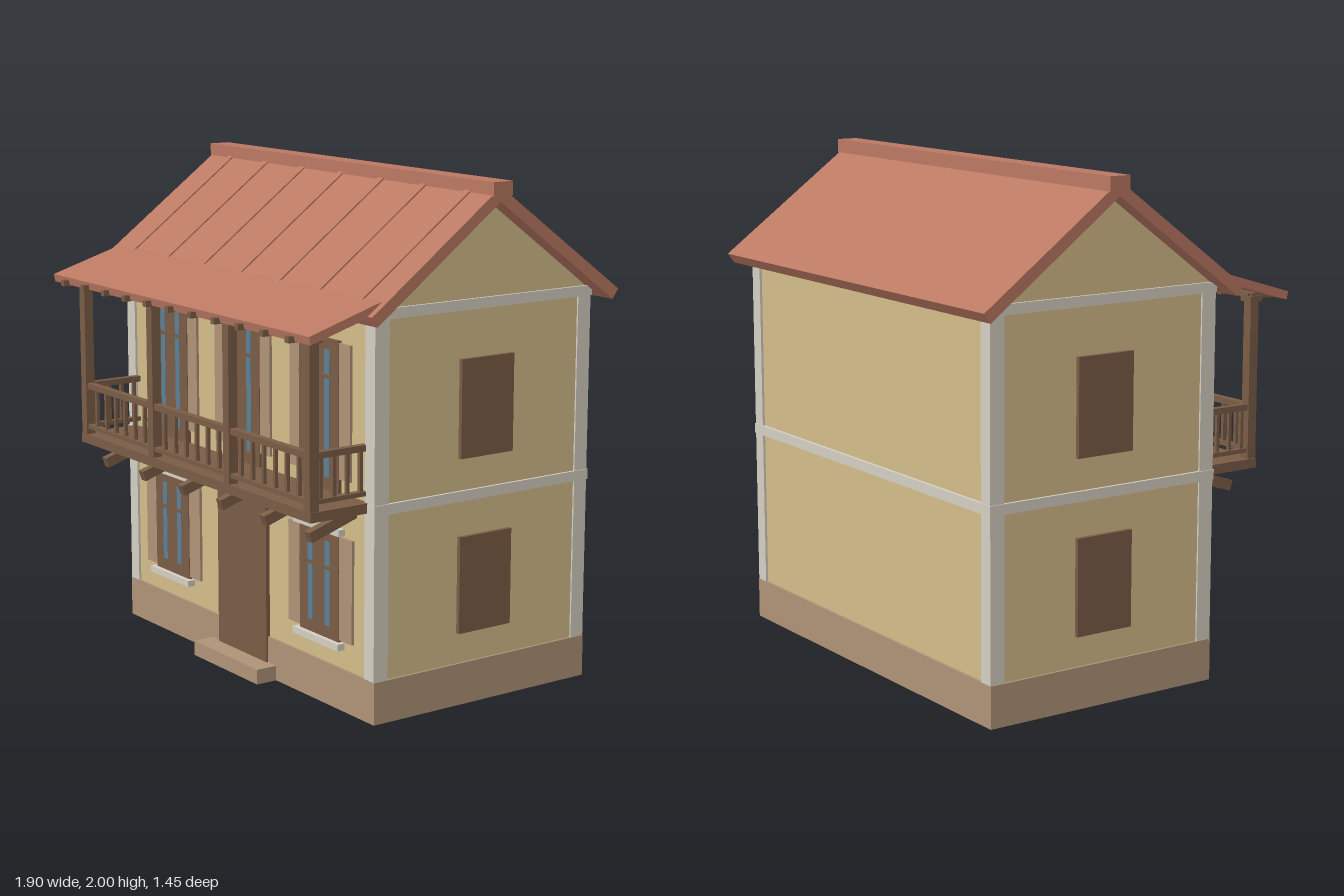
import * as THREE from 'three';

const mat = (name, color) => {
  const m = new THREE.MeshStandardMaterial({ color });
  m.name = name;
  return m;
};

export function createModel() {
  const house = new THREE.Group();
  house.name = 'balconyHouse';
  const plaster = mat('ochrePlaster', 0xd4bc8a);
  const trim = mat('paleTrim', 0xd5cfc2);
  const stone = mat('tanStone', 0xae9376);
  const wood = mat('darkWood', 0x7a5c46);
  const tile = mat('terracottaTile', 0xba7862);
  const glass = mat('blueGlass', 0x5c7f96);

  // Box given by its limits on each axis
  const box = (name, m, x0, x1, y0, y1, z0, z1, parent = house) => {
    const mesh = new THREE.Mesh(new THREE.BoxGeometry(x1 - x0, y1 - y0, z1 - z0), m);
    mesh.position.set((x0 + x1) / 2, (y0 + y1) / 2, (z0 + z1) / 2);
    mesh.name = name;
    parent.add(mesh);
    return mesh;
  };
  // Side profile of [z, y] points swept along x
  const sweep = (name, m, points, width, x = 0, parent = house) => {
    const shape = new THREE.Shape(points.map(([z, y]) => new THREE.Vector2(z, y)));
    const geo = new THREE.ExtrudeGeometry(shape, { depth: width, bevelEnabled: false });
    geo.translate(0, 0, -width / 2).rotateY(-Math.PI / 2);
    const mesh = new THREE.Mesh(geo, m);
    mesh.position.x = x;
    mesh.name = name;
    parent.add(mesh);
    return mesh;
  };
  const group = (name) => {
    const g = new THREE.Group();
    g.name = name;
    house.add(g);
    return g;
  };

  // Walls with gables, plinth and doorstep
  sweep('walls', plaster, [[-0.635, 0.1], [0.375, 0.1], [0.375, 1.555], [-0.13, 1.93], [-0.635, 1.555]], 1.73);
  box('plinth', stone, -0.875, 0.875, 0, 0.165, -0.645, 0.385);
  box('doorstep', stone, -0.23, 0.23, 0, 0.06, 0.38, 0.475);

  // Corner pilasters and the two belt courses
  for (const s of [-1, 1]) {
    const [a, b] = s < 0 ? [-0.872, -0.812] : [0.812, 0.872];
    box('frontPilaster', trim, a, b, 0.165, 1.53, 0.32, 0.385);
    box('backPilaster', trim, a, b, 0.165, 1.53, -0.645, -0.583);
  }
  for (const y of [0.8, 1.525])
    box('beltCourse', trim, -0.876, 0.876, y, y + 0.04, -0.648, 0.388);

  // Main roof: two sloping slabs, ridge cap and front seams
  const roof = group('mainRoof');
  sweep('frontSlope', tile, [[-0.13, 1.925], [0.43, 1.515], [0.455, 1.553], [-0.13, 1.98]], 1.89, 0, roof);
  sweep('backSlope', tile, [[-0.13, 1.925], [-0.13, 1.98], [-0.72, 1.553], [-0.692, 1.515]], 1.89, 0, roof);
  box('ridgeCap', tile, -0.952, 0.952, 1.945, 2, -0.18, -0.09, roof);
  for (let i = -3; i <= 3; i++)
    sweep('roofSeam', tile, [[-0.1, 1.955], [0.4, 1.59], [0.405, 1.596], [-0.1, 1.965]], 0.035, i * 0.266, roof);

  // Porch roof with rafter tails
  sweep('porchRoof', tile, [[0.385, 1.567], [0.7, 1.475], [0.707, 1.506], [0.385, 1.603]], 1.835);
  for (let i = -5; i <= 5; i++)
    box('rafterTail', wood, i * 0.1615 - 0.012, i * 0.1615 + 0.012, 1.471, 1.495, 0.59, 0.727);

  // Balcony: deck, posts, top beam
  const balcony = group('balcony');
  box('deck', wood, -0.83, 0.83, 0.805, 0.843, 0.375, 0.64, balcony);
  box('topBeam', wood, -0.83, 0.83, 1.477, 1.497, 0.602, 0.636, balcony);
  const posts = [-0.805, -0.275, 0.275, 0.805];
  for (const x of posts) {
    box('post', wood, x - 0.02, x + 0.02, 0.84, 1.48, 0.6, 0.64, balcony);
    box('postCap', wood, x - 0.03, x + 0.03, 1.462, 1.485, 0.59, 0.648, balcony);
  }

  // Railings: front bays between posts, then both ends
  for (const [y0, y1] of [[0.868, 0.885], [1.036, 1.06]]) {
    box('frontRail', wood, -0.8, 0.8, y0, y1, 0.606, 0.634, balcony);
    for (const x of [-0.805, 0.805])
      box('endRail', wood, x - 0.014, x + 0.014, y0, y1, 0.375, 0.61, balcony);
  }
  for (let b = 0; b < 3; b++)
    for (let i = 1; i <= 6; i++) {
      const x = posts[b] + ((posts[b + 1] - posts[b]) * i) / 7;
      box('baluster', wood, x - 0.007, x + 0.007, 0.88, 1.04, 0.613, 0.627, balcony);
    }
  for (const x of [-0.805, 0.805])
    for (const z of [0.4, 0.46, 0.52, 0.58])
      box('endBaluster', wood, x - 0.007, x + 0.007, 0.88, 1.04, z - 0.007, z + 0.007, balcony);

  // Sloping brackets under the deck
  for (const x of [-0.735, -0.44, -0.14, 0.14, 0.44, 0.735])
    sweep('bracket', wood, [[0.375, 0.77], [0.576, 0.705], [0.59, 0.745], [0.375, 0.812]], 0.034, x, balcony);

  // Front window: wooden casement, narrow panes and open shutters
  const frontWindow = (name, x, y0, y1, inset, shutterWidth) => {
    const g = group(name);
    box('casement', wood, x - 0.127, x + 0.127, y0, y1, 0.37, 0.389, g);
    for (const s of [-1, 1]) {
      const c = x + s * (0.125 + shutterWidth / 2);
      box('shutter', stone, c - shutterWidth / 2, c + shutterWidth / 2, y0 + inset, y1 - 0.008, 0.37, 0.386, g);
      box('pane', glass, x + s * 0.055 - 0.016, x + s * 0.055 + 0.016, y0 + 0.05, y1 - 0.04, 0.387, 0.3905, g);
    }
    box('crossbar', wood, x - 0.127, x + 0.127, y1 - 0.15, y1 - 0.135, 0.38, 0.392, g);
    return g;
  };
  for (const x of [-0.525, 0, 0.525]) frontWindow('upperWindow', x, 0.843, 1.42, 0.055, 0.07);
  for (const x of [-0.527, 0.527]) {
    const g = frontWindow('lowerWindow', x, 0.265, 0.685, 0.01, 0.083);
    box('sill', trim, x - 0.148, x + 0.148, 0.24, 0.266, 0.37, 0.408, g);
    box('lintel', trim, x - 0.148, x + 0.148, 0.684, 0.71, 0.37, 0.405, g);
  }

  // Front door and its lintel
  box('door', wood, -0.173, 0.173, 0.06, 0.745, 0.36, 0.392);
  box('doorLintel', trim, -0.2, 0.2, 0.743, 0.78, 0.37, 0.405);

  // Closed shutters on both side walls
  for (const x of [-0.87, 0.87])
    for (const y of [0.285, 0.965])
      box('sideShutter', wood, x - 0.012, x + 0.012, y, y + 0.378, -0.26, -0.01);

  return house;
}
